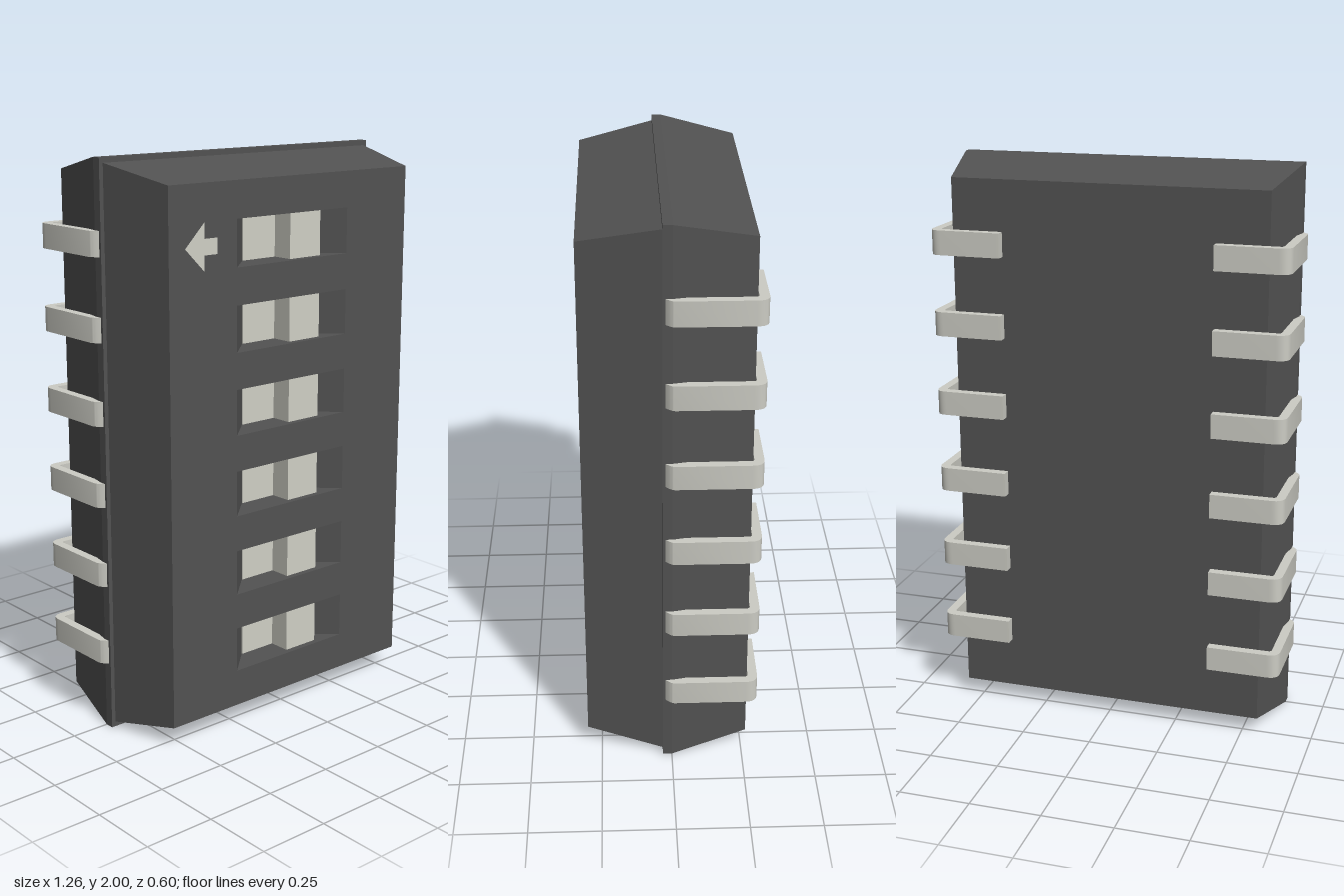
import * as THREE from 'three';
import { toCreasedNormals } from 'three/addons/utils/BufferGeometryUtils.js';

const COUNT = 6, PITCH = 0.287, FIRST = 0.285;
const FRONT = 0.3, FLOOR = 0.198;

// Flat-shaded loft through rectangular rings [x0, x1, y0, y1, z]; can close either end.
function loft(rings, capStart, capEnd) {
  const pos = [];
  const corners = ([x0, x1, y0, y1, z]) => [[x0, y0, z], [x1, y0, z], [x1, y1, z], [x0, y1, z]];
  const quad = (a, b, c, d) => pos.push(...a, ...b, ...c, ...a, ...c, ...d);
  for (let i = 0; i + 1 < rings.length; i++) {
    const a = corners(rings[i]), b = corners(rings[i + 1]);
    for (let k = 0; k < 4; k++) {
      const n = (k + 1) % 4;
      quad(a[k], a[n], b[n], b[k]);
    }
  }
  if (capStart) quad(...corners(rings[0]).reverse());
  if (capEnd) quad(...corners(rings[rings.length - 1]));
  const geo = new THREE.BufferGeometry();
  geo.setAttribute('position', new THREE.Float32BufferAttribute(pos, 3));
  geo.computeVertexNormals();
  return geo;
}

const polygon = (points) => new THREE.Shape(points.map(([x, y]) => new THREE.Vector2(x, y)));

// Extrudes a profile drawn in (x, -z) along y, centred on y = 0.
function extrudeUp(shape, height) {
  const geo = new THREE.ExtrudeGeometry(shape, { depth: height, bevelEnabled: false, curveSegments: 8 });
  geo.translate(0, 0, -height / 2).rotateX(-Math.PI / 2);
  return toCreasedNormals(geo, 0.6);
}

export function createModel() {
  const root = new THREE.Group();
  const dark = new THREE.MeshStandardMaterial({ color: 0x525252 });
  const metal = new THREE.MeshStandardMaterial({ color: 0xccccc4 });
  const ivory = new THREE.MeshStandardMaterial({ color: 0xd0d0c6 });
  const add = (name, geo, mat, parent = root) => {
    const mesh = new THREE.Mesh(geo, mat);
    mesh.name = name;
    parent.add(mesh);
    return mesh;
  };

  // Housing: two tapered halves with a small step at the seam
  const ring = (hx, hy, z) => [-hx, hx, 1 - hy, 1 + hy, z];
  add('housing', loft([
    ring(0.555, 0.942, -0.267), ring(0.61, 1, 0), ring(0.61, 1, 0.032),
    ring(0.595, 0.982, 0.032), ring(0.54, 0.926, FRONT),
  ], true, false), dark);

  // Front face with one window for each switch
  const face = polygon([[-0.54, 0.074], [0.54, 0.074], [0.54, 1.926], [-0.54, 1.926]]);
  const rows = Array.from({ length: COUNT }, (_, i) => FIRST + i * PITCH);
  const X0 = -0.255, X1 = 0.25, HALF = 0.08;
  for (const y of rows) {
    face.holes.push(polygon([[X0, y - HALF], [X0, y + HALF], [X1, y + HALF], [X1, y - HALF]]));
  }
  add('frontFace', new THREE.ShapeGeometry(face).translate(0, 0, FRONT), dark);

  // Recess with sloping ends, and a stepped slider
  const recess = loft([
    [X0, X1, -HALF, HALF, FRONT], [-0.145, 0.14, -HALF, HALF, FLOOR],
  ], false, true);
  const slider = extrudeUp(polygon([
    [-0.145, -0.18], [0.14, -0.18], [0.14, -0.28], [0, -0.28], [0, -0.202], [-0.145, -0.202],
  ]), 2 * HALF - 0.002);

  // Bent lead: enters at the seam, runs down the side and folds under
  const profile = new THREE.Shape();
  profile.moveTo(0.375, 0.3);
  profile.lineTo(0.59, 0.3);
  profile.quadraticCurveTo(0.632, 0.3, 0.632, 0.258);
  profile.lineTo(0.632, 0.01);
  profile.quadraticCurveTo(0.632, -0.005, 0.605, -0.027);
  profile.lineTo(0.55, -0.027);
  profile.lineTo(0.55, 0.005);
  profile.lineTo(0.6, 0.01);
  profile.lineTo(0.6, 0.256);
  profile.quadraticCurveTo(0.6, 0.267, 0.588, 0.267);
  profile.lineTo(0.375, 0.267);
  const lead = extrudeUp(profile, 0.086);

  rows.forEach((y, i) => {
    const unit = new THREE.Group();
    unit.name = `switch${i + 1}`;
    unit.position.y = y;
    add('recess', recess, dark, unit);
    add('slider', slider, ivory, unit);
    add('leftLead', lead, metal, unit);
    add('rightLead', lead, metal, unit).rotation.z = Math.PI;
    root.add(unit);
  });

  // Direction arrow on the front face
  const arrow = polygon([
    [-0.475, 1.72], [-0.395, 1.64], [-0.395, 1.693], [-0.34, 1.693],
    [-0.34, 1.747], [-0.395, 1.747], [-0.395, 1.8],
  ]);
  add('arrow', new THREE.ShapeGeometry(arrow).translate(0, 0, FRONT + 0.002), ivory);

  return root;
}
